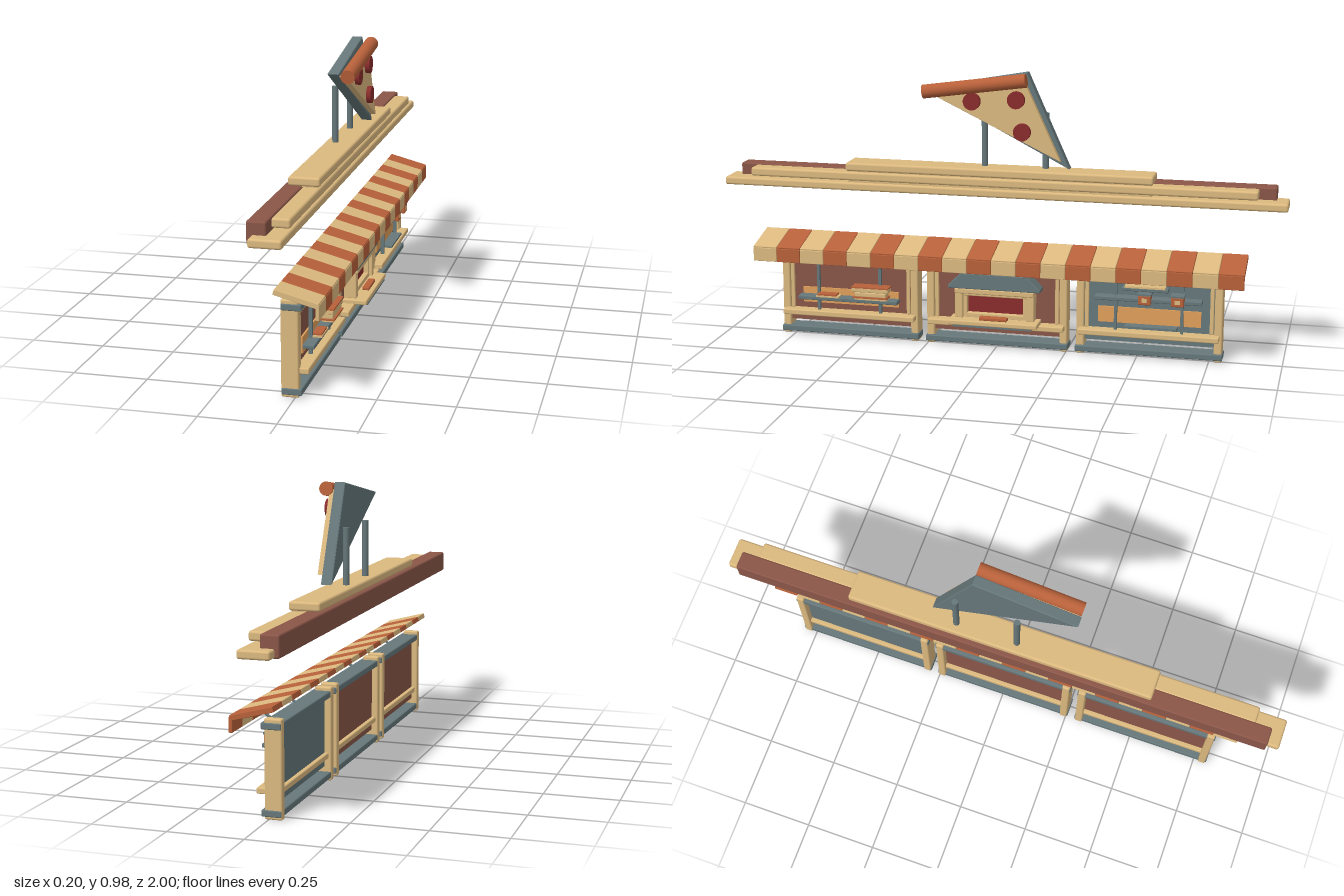
import * as THREE from 'three';
import { RoundedBoxGeometry } from 'three/addons/geometries/RoundedBoxGeometry.js';

const mat = (color, side = THREE.FrontSide) => new THREE.MeshStandardMaterial({ color, side });
const CREAM = mat(0xdcb97f), SLATE = mat(0x66777a), BROWN = mat(0x8a5648);
const ORANGE = mat(0xb8613a), RED = mat(0x8a2c2c), AMBER = mat(0xdf9f5a);

function add(parent, name, geometry, material) {
  const mesh = new THREE.Mesh(geometry, material);
  mesh.name = name;
  parent.add(mesh);
  return mesh;
}

// Box given by its extents; a radius above zero softens the edges
function box(parent, name, material, [x0, x1], [y0, y1], [z0, z1], radius = 0) {
  const w = x1 - x0, h = y1 - y0, d = z1 - z0;
  const geo = radius ? new RoundedBoxGeometry(w, h, d, 2, radius) : new THREE.BoxGeometry(w, h, d);
  geo.translate((x0 + x1) / 2, (y0 + y1) / 2, (z0 + z1) / 2);
  return add(parent, name, geo, material);
}

// Outline in (z, y) extruded between x0 and x1
function plate(parent, name, material, points, x0, x1, bevel = 0) {
  const shape = new THREE.Shape(points.map(p => new THREE.Vector2(...p)));
  const geo = new THREE.ExtrudeGeometry(shape, {
    depth: x1 - x0 - 2 * bevel, bevelEnabled: bevel > 0, bevelThickness: bevel,
    bevelSize: bevel, bevelOffset: -bevel, bevelSegments: 2,
  });
  geo.rotateY(-Math.PI / 2).translate(x1 - bevel, 0, 0);
  return add(parent, name, geo, material);
}

// Cylinder between two points
function rod(parent, name, material, a, b, r, sides = 16) {
  const p = new THREE.Vector3(...a), q = new THREE.Vector3(...b), dir = q.clone().sub(p);
  const mesh = add(parent, name, new THREE.CylinderGeometry(r, r, dir.length(), sides), material);
  mesh.position.copy(p).add(q).multiplyScalar(0.5);
  mesh.quaternion.setFromUnitVectors(new THREE.Vector3(0, 1, 0), dir.normalize());
  return mesh;
}

// Frame shared by all three stalls
function stall(name, z, panel, bracketZ) {
  const g = new THREE.Group();
  g.name = name;
  g.position.z = z;
  box(g, 'backPanel', panel, [-0.022, 0], [0.053, 0.3], [-0.24, 0.24]);
  box(g, 'topBeam', SLATE, [-0.043, 0.023], [0.288, 0.31], [-0.257, 0.257], 0.004);
  box(g, 'bottomBeam', SLATE, [-0.043, 0.023], [0.012, 0.034], [-0.257, 0.257], 0.004);
  box(g, 'lowerRail', CREAM, [-0.036, 0.043], [0.08, 0.1], [-0.245, 0.245], 0.004);
  box(g, 'upperTrim', CREAM, [0, 0.01], [0.268, 0.285], [-0.225, 0.225], 0.003);
  for (const s of [-1, 1]) {
    const span = (a, b) => [Math.min(s * a, s * b), Math.max(s * a, s * b)];
    box(g, 'post', CREAM, [-0.045, 0.013], [0.003, 0.323], span(0.226, 0.254), 0.006);
    box(g, 'innerTrim', CREAM, [0, 0.01], [0.1, 0.285], span(0.21, 0.224), 0.003);
    rod(g, 'awningBracket', SLATE, [0.016, 0.272, s * bracketZ], [0.09, 0.328, s * bracketZ], 0.005, 8);
  }
  return g;
}

// Hanging rods, amber back strip and a shelf
function shelving(g, shelfY) {
  box(g, 'amberPanel', AMBER, [0, 0.006], [0.122, 0.178], [-0.18, 0.178]);
  box(g, 'shelf', SLATE, [0.006, 0.046], [shelfY, shelfY + 0.014], [-0.185, 0.185], 0.003);
  for (const s of [-1, 1])
    box(g, 'shelfUpright', SLATE, [0.01, 0.022], [0.1, 0.29], [s * 0.115 - 0.005, s * 0.115 + 0.005]);
}

export function createModel() {
  const model = new THREE.Group();

  // Box-stack stall
  const left = stall('boxStall', 0.54, BROWN, 0.115);
  shelving(left, 0.141);
  box(left, 'lowerBox', CREAM, [0.014, 0.055], [0.156, 0.164], [-0.15, -0.03]);
  box(left, 'lowerBoxBody', CREAM, [0.014, 0.052], [0.166, 0.182], [-0.145, -0.03], 0.003);
  box(left, 'boxBand', ORANGE, [0.012, 0.058], [0.162, 0.167], [-0.15, -0.025]);
  box(left, 'upperBoxBody', CREAM, [0.014, 0.056], [0.184, 0.2], [-0.155, -0.02], 0.003);
  box(left, 'boxLid', ORANGE, [0.012, 0.058], [0.199, 0.204], [-0.155, -0.02]);
  box(left, 'servingBoard', CREAM, [0.014, 0.052], [0.155, 0.161], [0.03, 0.115]);
  box(left, 'flatSlice', ORANGE, [0.018, 0.05], [0.161, 0.167], [0.04, 0.11]);

  // Oven stall
  const mid = stall('ovenStall', 0, BROWN, 0.19);
  plate(mid, 'ovenHood', SLATE, [[-0.165, 0.222], [0.165, 0.222], [0.165, 0.232], [0.118, 0.278], [-0.118, 0.278], [-0.165, 0.232]], 0, 0.056, 0.003);
  box(mid, 'ovenMouth', RED, [0, 0.016], [0.11, 0.205], [-0.11, 0.11]);
  box(mid, 'ovenLintel', CREAM, [0, 0.052], [0.203, 0.222], [-0.142, 0.142], 0.004);
  box(mid, 'innerLintel', CREAM, [0, 0.036], [0.192, 0.204], [-0.112, 0.112], 0.003);
  box(mid, 'ovenSill', CREAM, [0, 0.034], [0.112, 0.13], [-0.112, 0.112], 0.003);
  box(mid, 'ovenCounter', CREAM, [0, 0.085], [0.097, 0.114], [-0.16, 0.16], 0.004);
  box(mid, 'counterEdge', SLATE, [0.076, 0.085], [0.092, 0.098], [-0.14, 0.14]);
  box(mid, 'bakedSlice', ORANGE, [0.045, 0.07], [0.114, 0.126], [-0.05, 0.05], 0.003);
  for (const s of [-1, 1]) {
    box(mid, 'ovenJamb', CREAM, [0, 0.045], [0.112, 0.206], [s * 0.128 - 0.014, s * 0.128 + 0.014], 0.004);
    box(mid, 'innerJamb', CREAM, [0, 0.034], [0.112, 0.2], [s * 0.107 - 0.007, s * 0.107 + 0.007], 0.003);
  }

  // Drinks stall
  const right = stall('drinksStall', -0.54, SLATE, 0.115);
  shelving(right, 0.211);
  box(right, 'servingTray', SLATE, [0.006, 0.045], [0.114, 0.122], [-0.1, 0.08]);
  box(right, 'hangingBar', SLATE, [0.01, 0.05], [0.25, 0.262], [-0.07, 0.09], 0.003);
  box(right, 'hangingBarTrim', CREAM, [0.01, 0.054], [0.262, 0.268], [-0.06, 0.08]);
  for (const z of [0.01, -0.103]) {
    box(right, 'cup', ORANGE, [0.02, 0.062], [0.206, 0.24], [z - 0.022, z + 0.022], 0.004);
    box(right, 'cupLabel', CREAM, [0.055, 0.064], [0.216, 0.23], [z - 0.009, z + 0.009]);
    box(right, 'cupLid', SLATE, [0.018, 0.064], [0.239, 0.245], [z - 0.024, z + 0.024]);
  }
  model.add(left, mid, right);

  // Striped awning with hanging valance
  const awning = new THREE.Group();
  awning.name = 'awning';
  const n = 20, w = 1.74 / n;
  for (let i = 0; i < n; i++) {
    const z = 0.87 - (i + 0.5) * w, m = i % 2 ? ORANGE : CREAM;
    const slab = add(awning, 'awningStripe', new RoundedBoxGeometry(0.145, 0.018, w - 0.001, 1, 0.002), m);
    slab.position.set(0.025, 0.3525, z);
    slab.rotation.z = -0.257;
    box(awning, 'valance', m, [0.086, 0.098], [0.289, 0.338], [z - w / 2 + 0.0005, z + w / 2 - 0.0005], 0.002);
  }
  model.add(awning);

  // Layered sign beam
  const beam = new THREE.Group();
  beam.name = 'signBeam';
  box(beam, 'lowerPlank', CREAM, [-0.085, 0.02], [0.545, 0.574], [-1, 1], 0.008);
  box(beam, 'middlePlank', CREAM, [-0.04, 0.02], [0.581, 0.612], [-0.9, 0.9], 0.008);
  box(beam, 'plankCore', CREAM, [-0.045, 0.01], [0.56, 0.63], [-0.54, 0.54]);
  box(beam, 'backBeam', BROWN, [-0.1, -0.038], [0.544, 0.616], [-0.958, 0.958], 0.006);
  box(beam, 'upperPlank', CREAM, [-0.085, 0.02], [0.615, 0.645], [-0.546, 0.546], 0.008);
  model.add(beam);

  // Slice sign on two poles
  const sign = new THREE.Group();
  sign.name = 'sliceSign';
  for (const z of [0.055, -0.162]) rod(sign, 'signPole', SLATE, [-0.049, 0.63, z], [-0.049, 0.84, z], 0.011);
  plate(sign, 'signBacking', SLATE, [[0.255, 0.92], [-0.256, 0.656], [-0.107, 0.985]], -0.028, 0.01, 0.004);
  plate(sign, 'cheeseSlice', CREAM, [[0.24, 0.91], [-0.228, 0.685], [-0.1, 0.96]], 0.008, 0.031, 0.003);
  rod(sign, 'crust', ORANGE, [0.04, 0.912, 0.252], [0.04, 0.962, -0.11], 0.024, 24);
  for (const [z, y] of [[0.08, 0.884], [-0.075, 0.894], [-0.096, 0.784]])
    rod(sign, 'topping', RED, [0.029, y, z], [0.047, y, z], 0.03, 24);
  model.add(sign);

  return model;
}
